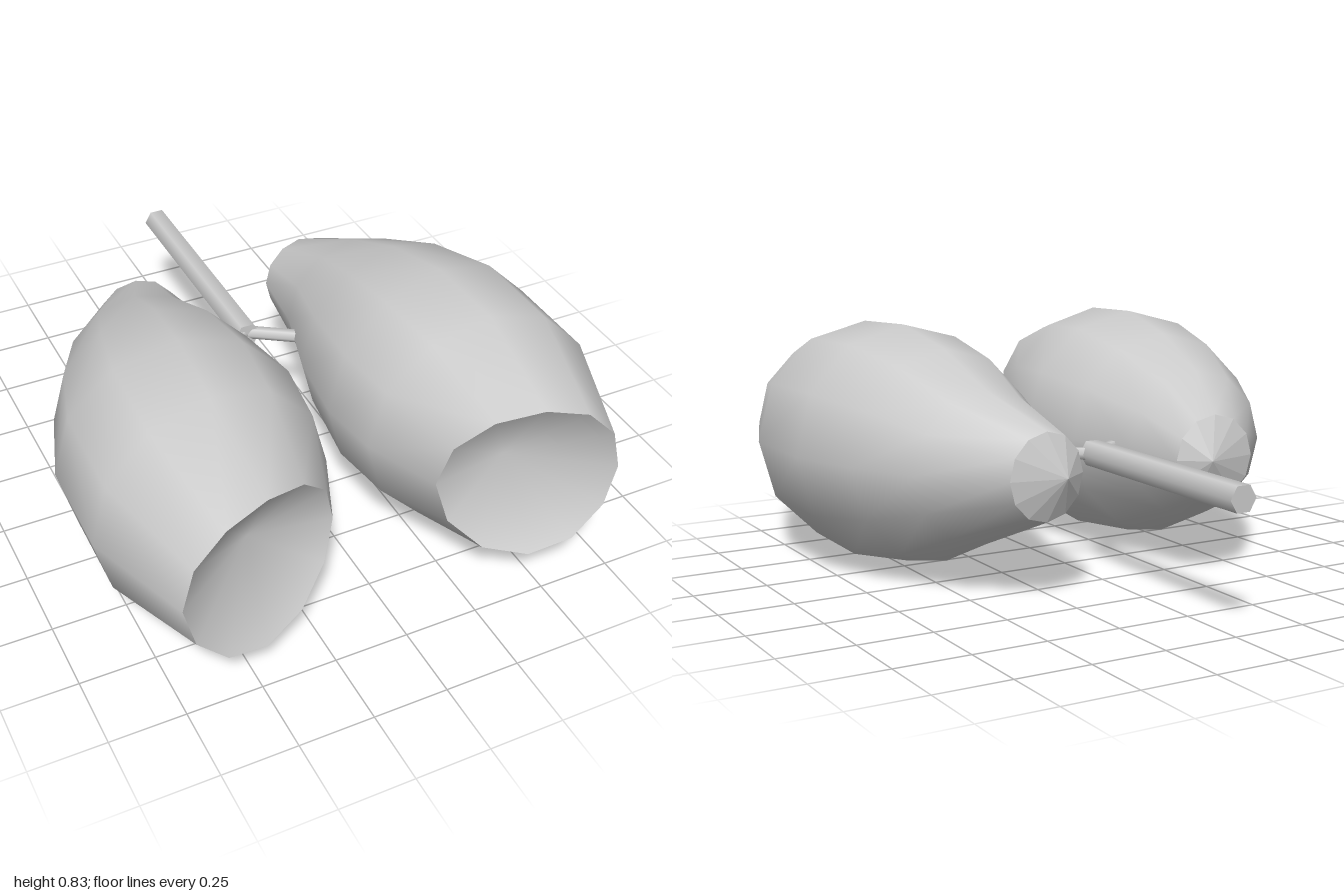
import * as THREE from 'three';

const SIDES = 12;
const MID_Y = 0.42;

// Cross-sections from apex to base: inner x, inner z, outer x, outer z, radius, bow of the ring in z
const SECTIONS = [
  [0.18, -0.42, 0.46, -0.45, 0.145, 0],
  [0.155, -0.18, 0.67, -0.21, 0.255, 0],
  [0.08, 0.08, 0.79, 0.01, 0.36, 0],
  [0.045, 0.35, 0.875, 0.27, 0.417, 0],
  [0.075, 0.57, 0.88, 0.62, 0.405, 0],
  [0.18, 0.82, 0.745, 0.99, 0.293, 0.055],
];

function ringPoints([ix, iz, ox, oz, r, bow], side) {
  const points = [];
  for (let j = 0; j < SIDES; j++) {
    const a = (j / SIDES) * Math.PI * 2;
    const c = Math.cos(a);
    const x = (ix + ox) / 2 + ((ox - ix) / 2) * c;
    const z = (iz + oz) / 2 + ((oz - iz) / 2) * c + bow * (1 - c * c);
    points.push([side * x, MID_Y + r * Math.sin(a), z]);
  }
  return points;
}

function meshFrom(points, triangles, side, name, flatShading = false) {
  const geometry = new THREE.BufferGeometry();
  geometry.setAttribute('position', new THREE.Float32BufferAttribute(points.flat(), 3));
  // mirrored parts need the opposite corner order
  geometry.setIndex(triangles.flatMap(([a, b, c]) => (side > 0 ? [a, b, c] : [a, c, b])));
  geometry.computeVertexNormals();
  const mesh = new THREE.Mesh(geometry, new THREE.MeshStandardMaterial({ color: 0xcccccc, flatShading }));
  mesh.name = name;
  return mesh;
}

// Fan from a ring to a single point
function fan(ring, tip, facesFront, side, name, flat) {
  const triangles = ring.map((_, j) => {
    const k = (j + 1) % SIDES;
    return facesFront ? [j, k, SIDES] : [k, j, SIDES];
  });
  return meshFrom([...ring, tip], triangles, side, name, flat);
}

function makeLung(side, name) {
  const lung = new THREE.Group();
  lung.name = name;
  const rings = SECTIONS.map((s) => ringPoints(s, side));

  // smooth outer wall
  const triangles = [];
  for (let i = 0; i < rings.length - 1; i++) {
    for (let j = 0; j < SIDES; j++) {
      const k = (j + 1) % SIDES;
      const a = i * SIDES + j, b = i * SIDES + k;
      triangles.push([a, b, a + SIDES], [b, b + SIDES, a + SIDES]);
    }
  }
  lung.add(meshFrom(rings.flat(), triangles, side, 'lungBody'));

  // pointed apex and hollow base
  lung.add(fan(rings[0], [side * 0.275, MID_Y, -0.49], false, side, 'lungApex', true));
  lung.add(fan(rings[rings.length - 1], [side * 0.45, MID_Y, 0.78], true, side, 'lungBase', false));
  return lung;
}

// Six-sided tube between two points
function tube(from, to, radius, name) {
  const a = new THREE.Vector3(...from), b = new THREE.Vector3(...to);
  const dir = b.clone().sub(a);
  const mesh = new THREE.Mesh(
    new THREE.CylinderGeometry(radius, radius, dir.length(), 6),
    new THREE.MeshStandardMaterial({ color: 0xcccccc })
  );
  mesh.geometry.rotateY(Math.PI / 2);
  mesh.position.copy(a).add(b).multiplyScalar(0.5);
  mesh.quaternion.setFromUnitVectors(new THREE.Vector3(0, 1, 0), dir.normalize());
  mesh.name = name;
  return mesh;
}

export function createModel() {
  const model = new THREE.Group();
  model.name = 'lungs';

  model.add(makeLung(1, 'leftLung'), makeLung(-1, 'rightLung'));

  // windpipe and its two branches
  model.add(tube([-0.018, MID_Y, -1], [-0.018, MID_Y, -0.15], 0.047, 'windpipe'));
  model.add(tube([-0.018, MID_Y, -0.175], [0.15, MID_Y, -0.065], 0.023, 'leftBronchus'));
  model.add(tube([-0.018, MID_Y, -0.175], [-0.16, MID_Y, -0.075], 0.023, 'rightBronchus'));
  return model;
}
